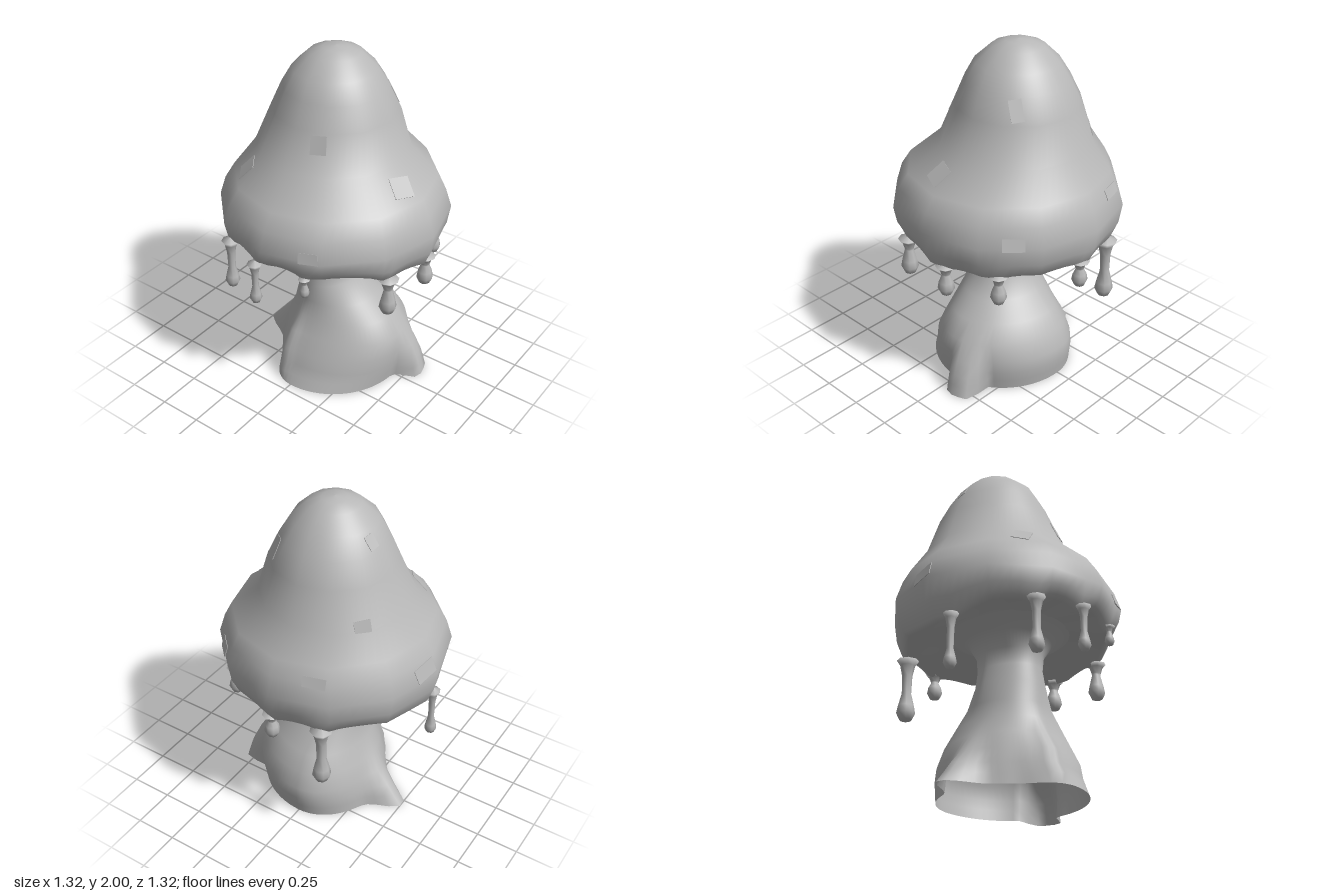
import * as THREE from 'three';

const clay = new THREE.MeshStandardMaterial({ color: 0xb8b8b8, side: THREE.DoubleSide });
clay.name = 'clay grey';

// Smooth skin over rings of equal size; point(ring, angle) gives [x, y, z].
function loft(rings, sides, point) {
  const pos = [], index = [];
  rings.forEach((ring) => {
    for (let i = 0; i < sides; i++) pos.push(...point(ring, (i / sides) * Math.PI * 2));
  });
  for (let j = 0; j < rings.length - 1; j++) {
    for (let i = 0; i < sides; i++) {
      const n = (i + 1) % sides;
      const a = j * sides + i, b = j * sides + n, c = a + sides, d = b + sides;
      index.push(a, c, b, b, c, d);
    }
  }
  const geo = new THREE.BufferGeometry();
  geo.setAttribute('position', new THREE.Float32BufferAttribute(pos, 3));
  geo.setIndex(index);
  geo.computeVertexNormals();
  return geo;
}

function part(name, geo, parent) {
  const mesh = new THREE.Mesh(geo, clay);
  mesh.name = name;
  parent.add(mesh);
  return mesh;
}

// Bump around an angle; a higher power gives a flatter top and steeper flanks
function bump(a, centre, width, power = 2) {
  const d = Math.atan2(Math.sin(a - centre), Math.cos(a - centre));
  return Math.exp(-(Math.abs(d / width) ** power));
}

// Cap rings: y, centre x, centre z, radius, how much the rim waves
const CAP = [
  [0.97, 0, 0, 0.28, 0],
  [0.93, 0, 0, 0.45, 0.4],
  [0.875, 0, 0, 0.575, 1],
  [0.89, 0, 0, 0.607, 1],
  [0.97, 0, 0, 0.642, 0.5],
  [1.08, 0, 0, 0.66, 0],
  [1.19, 0, 0, 0.625, 0],
  [1.28, 0, -0.01, 0.575, 0],
  [1.43, -0.035, -0.035, 0.435, 0],
  [1.65, -0.03, -0.055, 0.355, 0],
  [1.78, -0.03, -0.05, 0.295, 0],
  [1.88, -0.03, -0.045, 0.235, 0],
  [1.965, -0.03, -0.05, 0.145, 0],
  [1.993, -0.03, -0.05, 0.07, 0],
  [2.0, -0.03, -0.05, 0.001, 0],
];

// Stem rings: y, x min, x max, z min, z max
const STEM = [
  [0, -0.33, 0.44, -0.41, 0.45],
  [0.06, -0.325, 0.45, -0.42, 0.42],
  [0.12, -0.32, 0.46, -0.43, 0.39],
  [0.2, -0.3, 0.465, -0.43, 0.37],
  [0.3, -0.27, 0.455, -0.39, 0.31],
  [0.4, -0.22, 0.38, -0.33, 0.27],
  [0.5, -0.2, 0.28, -0.23, 0.24],
  [0.62, -0.19, 0.175, -0.16, 0.24],
  [0.72, -0.165, 0.17, -0.16, 0.22],
  [0.82, -0.16, 0.2, -0.17, 0.22],
  [0.9, -0.24, 0.26, -0.21, 0.26],
  [0.96, -0.36, 0.36, -0.34, 0.36],
];

// Drips: x, z, lowest y, bulb radius
const DRIPS = [
  [-0.59, 0.1, 0.54, 0.036], [-0.37, 0.49, 0.6, 0.043],
  [-0.1, 0.6, 0.67, 0.036], [0.21, 0.56, 0.82, 0.028],
  [0.54, 0.25, 0.67, 0.05], [0.57, -0.08, 0.69, 0.048],
  [0.45, -0.36, 0.7, 0.046], [0.04, -0.58, 0.72, 0.045],
  [-0.25, -0.53, 0.49, 0.054],
];

// Square patches on the cap: x, z direction, y, width, height, roll
const PATCHES = [
  [0.1, 0.27, 1.59, 0.09, 0.1, 0.1], [-0.32, 0.36, 1.35, 0.1, 0.12, -0.3],
  [0.25, 0.57, 1.1, 0.11, 0.06, 0.1], [0.47, 0.05, 1.35, 0.12, 0.12, -0.2],
  [0.2, -0.25, 1.72, 0.07, 0.12, 0.15], [0.45, -0.47, 1.1, 0.12, 0.07, 0],
  [-0.28, -0.1, 1.83, 0.06, 0.08, 0.2], [-0.36, -0.3, 1.45, 0.09, 0.07, 0.1],
  [-0.22, -0.54, 1.2, 0.13, 0.06, 0], [-0.62, -0.08, 1.13, 0.14, 0.09, 0.2],
];

// Rim height change: raised in front with arches, drawn down to each drip
function rimWave(a) {
  const front = Math.max(0, Math.sin(a));
  const dip = DRIPS.reduce((m, [x, z]) => Math.max(m, bump(a, Math.atan2(z, x), 0.1, 1.3)), 0);
  return 0.085 * front - 0.03 * bump(a, Math.PI, 0.5) - (0.025 + 0.025 * front) * dip;
}

// Cap skin, either round or with twelve flat sides
function capSkin(flatSided) {
  const facet = Math.PI / 6;
  return loft(CAP, 72, ([y, cx, cz, r, wave], a) => {
    const inFacet = (a + 1e-9) % facet - facet / 2;
    const s = flatSided ? r * Math.cos(facet / 2) / Math.cos(inFacet) : r;
    return [cx + s * Math.cos(a), y + wave * rimWave(a), cz + s * Math.sin(a)];
  });
}

export function createModel() {
  const model = new THREE.Group();
  model.name = 'mushroom';

  // Cap: twelve-sided outline with the soft shading of the round skin
  const capGeo = capSkin(true);
  capGeo.setAttribute('normal', capSkin(false).getAttribute('normal'));
  const cap = part('cap', capGeo, model);

  // Bulging stem, open below, with two roots, a ridge and a hollow in front
  part('stem', loft(STEM, 72, ([y, x0, x1, z0, z1], a) => {
    const c = Math.cos(a), s = Math.sin(a);
    const low = Math.max(0, 1 - y / 0.27);
    const grow = 0.18 * low ** 1.2 * bump(a, Math.PI + 0.05, 0.2)
      + 0.145 * low ** 0.8 * bump(a, -0.24, 0.21, 6)
      + (y > 0.05 && y < 0.35 ? 0.025 * bump(a, 1.85, 0.15) : 0)
      - 0.05 * Math.max(0, 1 - y / 0.4) * bump(a, 2.4, 0.4);
    return [c * ((c > 0 ? x1 : -x0) + grow), y, s * ((s > 0 ? z1 : -z0) + grow)];
  }), model);

  // Hanging drips: flared root sunk in the rim, thin neck, round bulb
  const drips = new THREE.Group();
  drips.name = 'drips';
  model.add(drips);
  for (const [x, z, low, r] of DRIPS) {
    const top = 0.915 + rimWave(Math.atan2(z, x));
    const h = top - low;
    const neck = r * 0.5;
    const profile = [
      [0.001, 0], [r * 0.65, r * 0.25], [r, r], [r * 0.85, Math.min(r * 1.8, h * 0.5)],
      [neck, Math.min(r * 3.2, h * 0.65)], [neck * 1.1, h * 0.7], [r * 0.8, h * 0.86], [r * 1.2, h * 0.94], [0.001, h],
    ].map(([px, py]) => new THREE.Vector2(px, py));
    part('drip', new THREE.LatheGeometry(profile, 8), drips).position.set(x, low, z);
  }

  // Thin patches set almost flush where a ray meets the cap
  const patches = new THREE.Group();
  patches.name = 'capPatches';
  model.add(patches);
  cap.updateMatrixWorld(true);
  const ray = new THREE.Raycaster();
  for (const [x, z, y, w, h, roll] of PATCHES) {
    const out = new THREE.Vector3(x, 0, z).normalize();
    ray.set(out.clone().multiplyScalar(3).setY(y), out.clone().negate());
    const hit = ray.intersectObject(cap)[0];
    if (!hit) continue;
    const patch = part('capPatch', new THREE.BoxGeometry(w, h, 0.006), patches);
    patch.position.copy(hit.point);
    patch.lookAt(hit.point.clone().add(hit.face.normal));
    patch.rotateZ(roll);
  }
  return model;
}
